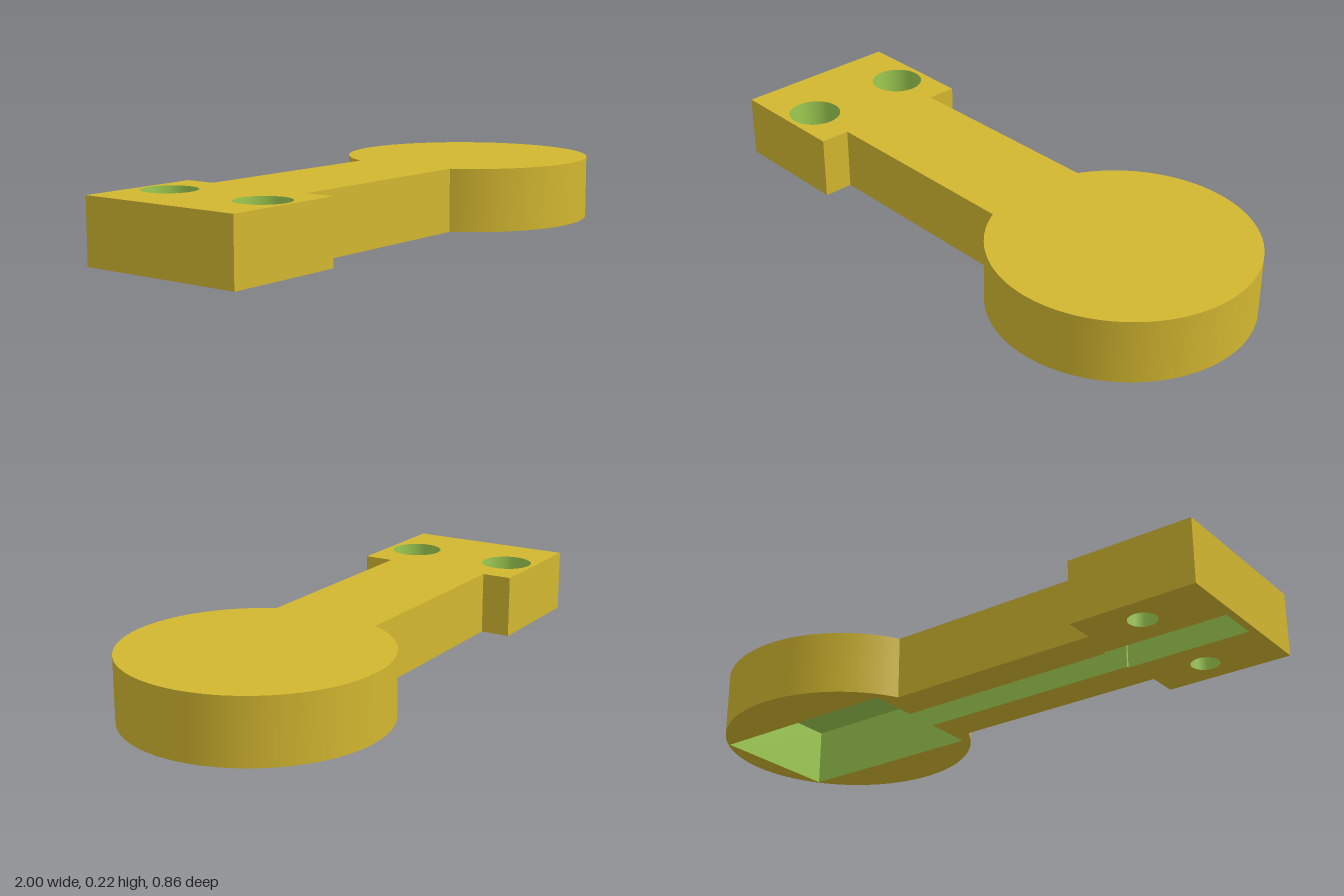
import * as THREE from 'three';
import { toCreasedNormals } from 'three/addons/utils/BufferGeometryUtils.js';

const H = 0.216;          // body height
const POCKET_Y = 0.2;     // ceiling of the round-end pocket
const CHANNEL_Y = 0.15;   // ceiling of the handle channel
const SEAT_Y = 0.09;      // floor of the counterbores

export function createModel() {
  const gold = new THREE.MeshStandardMaterial({ color: 0xd3b730 });
  gold.name = 'gold';
  const green = new THREE.MeshStandardMaterial({ color: 0x9dcb51 });
  green.name = 'cutGreen';
  const model = new THREE.Group();
  model.name = 'paddleHolder';

  const add = (name, geometry, material) => {
    const mesh = new THREE.Mesh(geometry, material);
    mesh.name = name;
    model.add(mesh);
  };

  // points are [x, z]; arcs run counter-clockwise in that plane
  const arc = (cx, cz, r, from, to, n) => Array.from({ length: n + 1 }, (_, i) => {
    const a = from + (to - from) * i / n;
    return [cx + r * Math.cos(a), cz + r * Math.sin(a)];
  });
  const circle = (cx, cz, r) => arc(cx, cz, r, 0, Math.PI * 2, 48);
  const vectors = (pts) => pts.map(([x, z]) => new THREE.Vector2(x, z));

  // flat horizontal face, facing up or down (every outline is symmetric in z)
  const face = (outline, holes, y, up) => {
    const shape = new THREE.Shape(vectors(outline));
    shape.holes = holes.map((h) => new THREE.Path(vectors(h)));
    const g = new THREE.ShapeGeometry(shape);
    g.rotateX(up ? -Math.PI / 2 : Math.PI / 2);
    return g.translate(0, y, 0);
  };

  // upright wall along a path; counter-clockwise paths face inward
  const wall = (path, y0, y1) => {
    const pos = [];
    for (let i = 0; i + 1 < path.length; i++) {
      const [ax, az] = path[i], [bx, bz] = path[i + 1];
      pos.push(ax, y0, az, bx, y0, bz, bx, y1, bz, ax, y0, az, bx, y1, bz, ax, y1, az);
    }
    const g = new THREE.BufferGeometry();
    g.setAttribute('position', new THREE.Float32BufferAttribute(pos, 3));
    g.computeVertexNormals();
    return toCreasedNormals(g, 0.5);
  };

  // body outline: round end, neck, mounting block
  const R = 0.432, CX = 0.568, NECK = 0.192, BLOCK = 0.297, BX = -0.57;
  const a = Math.PI - Math.asin(NECK / R);
  const outline = [
    ...arc(CX, 0, R, -a, a, 96),
    [BX, NECK], [BX, BLOCK], [-1, BLOCK], [-1, -BLOCK], [BX, -BLOCK], [BX, -NECK],
  ];

  // cavity open at the bottom: rectangular pocket, then a channel along the handle
  const PX = 0.238, PX2 = 0.925, PZ = 0.234, C = 0.062, CW = 0.07, SX = -0.55, EX = -0.975;
  const pocket = [[PX, -C], [PX, -PZ], [PX2, -PZ], [PX2, PZ], [PX, PZ], [PX, C]];
  const channel = [[PX, C], [SX, C], [SX, CW], [EX, CW], [EX, -CW], [SX, -CW], [SX, -C], [PX, -C]];

  // screw holes with counterbores
  const screws = [-0.19, 0.19];
  const bores = screws.map((z) => circle(-0.76, z, 0.09));
  const shafts = screws.map((z) => circle(-0.76, z, 0.047));

  add('bodySides', wall([...outline, outline[0]].reverse(), 0, H), gold);
  add('bodyTop', face(outline, bores, H, true), gold);
  add('bodyUnderside', face(outline, [[...pocket, ...channel.slice(1, -1)], ...shafts], 0, false), gold);

  add('pocketWalls', wall(pocket, 0, POCKET_Y), green);
  add('pocketCeiling', face(pocket, [], POCKET_Y, false), green);
  add('channelWalls', wall(channel, 0, CHANNEL_Y), green);
  add('channelCeiling', face(channel, [], CHANNEL_Y, false), green);
  add('channelLintel', wall([[PX, C], [PX, -C]], CHANNEL_Y, POCKET_Y), green);

  screws.forEach((z, i) => {
    // the up-facing seat mirrors z, so it uses the opposite pair of circles
    add('counterboreWall', wall(bores[i], SEAT_Y, H), green);
    add('counterboreSeat', face(bores[1 - i], [shafts[1 - i]], SEAT_Y, true), green);
    add('screwHoleWall', wall(shafts[i], 0, SEAT_Y), green);
  });

  return model;
}
